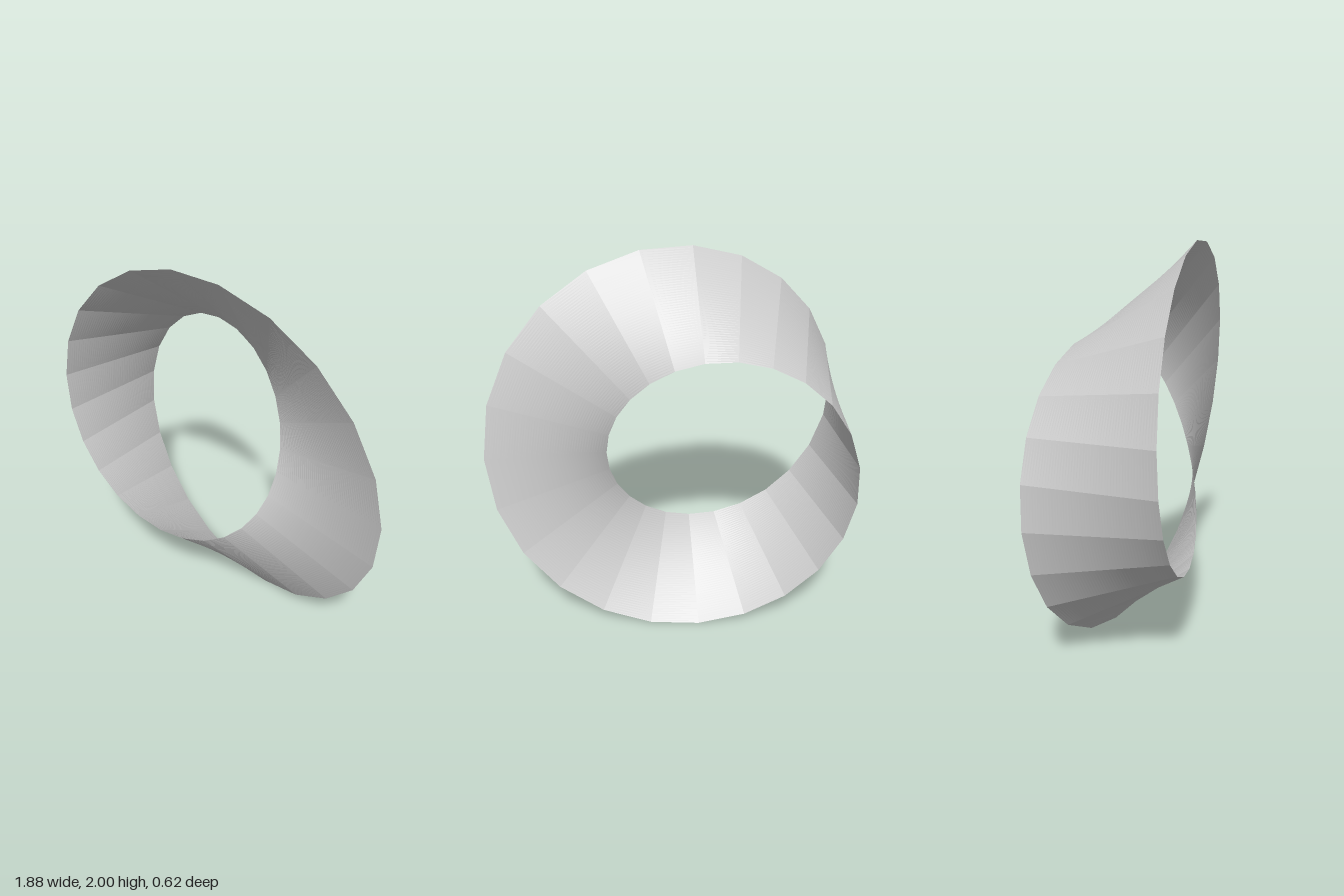
import * as THREE from 'three';
import { ParametricGeometry } from 'three/addons/geometries/ParametricGeometry.js';

const RADIUS = 0.7795;     // centre line of the band
const HALF_WIDTH = 0.3118; // half the band's width
const CENTRE_X = -0.1496;  // the half twist makes the ring lopsided
const CENTRE_Y = 1;

// A band that makes one half twist on its way around the ring
function twistedBand(u, v, target) {
  const angle = u * Math.PI * 2;
  const across = (v * 2 - 1) * HALF_WIDTH;
  const r = RADIUS + across * Math.cos(angle / 2);
  target.set(
    CENTRE_X + r * Math.cos(angle),
    CENTRE_Y + r * Math.sin(angle),
    across * Math.sin(angle / 2)
  );
}

export function createModel() {
  const group = new THREE.Group();
  group.name = 'mobiusStrip';

  // 24 flat panels around, finely divided across the width
  const geometry = new ParametricGeometry(twistedBand, 24, 48).toNonIndexed();
  geometry.computeVertexNormals();

  const material = new THREE.MeshStandardMaterial({
    color: 0xcccccc,
    flatShading: true,
    side: THREE.DoubleSide,
  });
  const band = new THREE.Mesh(geometry, material);
  band.name = 'twistedBand';
  group.add(band);
  return group;
}
